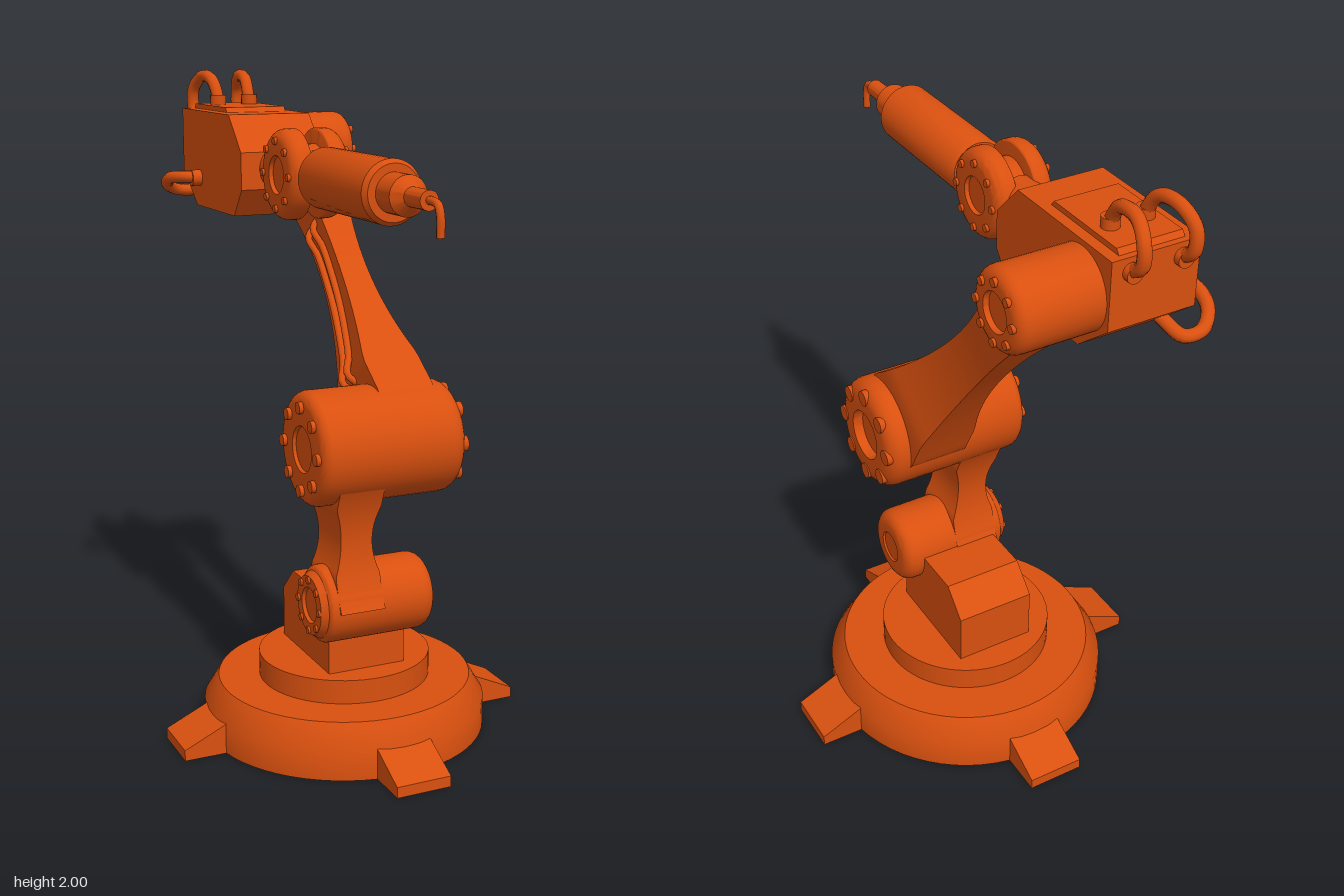
import * as THREE from 'three';
import { toCreasedNormals } from 'three/addons/utils/BufferGeometryUtils.js';

const V = (x, y, z) => new THREE.Vector3(x, y, z);

export function createModel() {
  const model = new THREE.Group();
  const paint = new THREE.MeshStandardMaterial({ color: 0xd9500f });
  const shellPaint = new THREE.MeshStandardMaterial({ color: 0xd9500f, side: THREE.DoubleSide });

  function add(name, geometry, parent = model, material = paint) {
    const mesh = new THREE.Mesh(geometry, material);
    mesh.name = name;
    parent.add(mesh);
    return mesh;
  }
  // Turned part from [radius, height] pairs
  const turned = (pts, n = 48) =>
    toCreasedNormals(new THREE.LatheGeometry(pts.map(p => new THREE.Vector2(...p)), n), 0.6);

  // Side profile in [z, y], extruded across x
  function slab(name, pts, x0, x1) {
    const shape = new THREE.Shape(pts.map(([z, y]) => new THREE.Vector2(-z, y)));
    const g = new THREE.ExtrudeGeometry(shape, { depth: x1 - x0, bevelEnabled: false });
    g.rotateY(Math.PI / 2).translate(x0, 0, 0);
    return add(name, g);
  }
  function tube(name, pts, r) {
    const curve = new THREE.CatmullRomCurve3(pts);
    return add(name, new THREE.TubeGeometry(curve, 40, r, 10, false), model, shellPaint);
  }
  // Joint drum along x; each end has a rounding and an optional recess [radius, depth]
  function drum(name, r, x0, x1, y, z, { left = 0.03, right = 0.03, leftCup, rightCup } = {}) {
    const arc = (x, s, b) => Array.from({ length: 7 }, (_, i) => {
      const a = (i / 6) * Math.PI / 2;
      return [r - b + b * Math.sin(a), x + s * (b * Math.cos(a) - b)];
    });
    const cup = (x, s, c) => c
      ? [[0, x - s * c[1]], [c[0] * 0.94, x - s * c[1]], [c[0], x]] : [[0, x]];
    const start = [...cup(x0, -1, rightCup), ...arc(x0, -1, right)];
    const end = [...cup(x1, 1, leftCup), ...arc(x1, 1, left)].reverse();
    const group = new THREE.Group();
    group.name = name;
    group.position.set(0, y, z);
    model.add(group);
    add(name + 'Body', turned([...start, ...end]).rotateZ(-Math.PI / 2), group);
    return group;
  }
  // Ring of bolt heads on a drum end
  function bolts(group, x, ringR, r, count = 8, len = 0.03) {
    for (let i = 0; i < count; i++) {
      const a = (i / count) * Math.PI * 2;
      const g = new THREE.CylinderGeometry(r, r, len, 14).rotateZ(Math.PI / 2);
      add('bolt', g, group).position.set(x, Math.cos(a) * ringR, Math.sin(a) * ringR);
    }
  }
  // Waisted bar between two joints
  function link(name, from, to, halfX, halfZ) {
    const dir = to.clone().sub(from);
    const g = new THREE.BoxGeometry(2, 1, 2, 1, 32, 1);
    const p = g.attributes.position;
    for (let i = 0; i < p.count; i++) {
      const t = p.getY(i) + 0.5;
      p.setXYZ(i, p.getX(i) * halfX(t), t * dir.length(), p.getZ(i) * halfZ(t));
    }
    const mesh = add(name, toCreasedNormals(g, 0.6));
    mesh.position.copy(from);
    mesh.rotation.x = Math.atan2(dir.z, dir.y);
    return mesh;
  }
  const waist = (w, k, t0, max) => t => Math.min(max, w + k * (t - t0) ** 2);

  // Hollow base, open underneath
  const baseZ = -0.065;
  add('base', turned([[0.44, 0], [0.44, 0.092], [0.395, 0.165], [0, 0.165]], 64), model, shellPaint)
    .position.z = baseZ;
  add('turntable', new THREE.CylinderGeometry(0.267, 0.267, 0.08, 64)).position.set(0, 0.2, baseZ);

  // Four sloped feet, open underneath
  for (let i = 0; i < 4; i++) {
    const g = new THREE.BoxGeometry(0.174, 1, 0.137);
    const p = g.attributes.position;
    for (let j = 0; j < p.count; j++) {
      p.setY(j, p.getY(j) < 0 ? 0 : p.getZ(j) > 0 ? 0.034 : 0.097);
    }
    const index = Array.from(g.index.array);
    g.setIndex([...index.slice(0, 18), ...index.slice(24, 30)]);
    g.clearGroups();
    g.translate(0, 0, 0.4935).rotateY(i * Math.PI / 2);
    g.computeVertexNormals();
    add('foot', g, model, shellPaint).position.z = baseZ;
  }

  // Pedestal block
  slab('pedestal', [[0.115, 0.23], [0.115, 0.42], [0.04, 0.48], [-0.165, 0.48], [-0.245, 0.4], [-0.245, 0.23]],
    -0.13, 0.12);

  // Shoulder
  const shoulder = V(-0.07, 0.468, 0.105);
  const s = drum('shoulderJoint', 0.118, -0.17, 0.18, shoulder.y, shoulder.z,
    { left: 0.04, right: 0.02, leftCup: [0.05, 0.006] });
  add('shoulderCap', turned([[0, -0.18], [0.05, -0.18], [0.055, -0.19], [0.09, -0.19], [0.105, -0.165]])
    .rotateZ(-Math.PI / 2), s);
  bolts(s, -0.182, 0.078, 0.011);

  // Elbow
  const elbow = V(0.105, 0.947, 0.093);
  const e = drum('elbowJoint', 0.172, -0.205, 0.26, elbow.y, elbow.z,
    { left: 0.05, right: 0.035, leftCup: [0.078, 0.03], rightCup: [0.07, 0.01] });
  bolts(e, 0.246, 0.133, 0.024, 8, 0.036);
  bolts(e, -0.203, 0.125, 0.018);

  // Lower link
  link('lowerLink', shoulder, V(-0.07, elbow.y, elbow.z), waist(0.05, 0.45, 0.43, 0.071), waist(0.082, 0.32, 0.38, 0.14));

  // Upper joint
  const top = V(0.105, 1.755, -0.62);
  const u = drum('upperJoint', 0.115, -0.01, 0.245, top.y, top.z, { left: 0.035, right: 0.01, leftCup: [0.055, 0.015] });
  bolts(u, 0.238, 0.084, 0.012);

  // Upper link with two cables along its inner face
  const upperHalfX = waist(0.045, 0.35, 0.56, 0.09);
  link('upperLink', elbow, top, upperHalfX, waist(0.072, 0.25, 0.65, 0.15));
  const along = top.clone().sub(elbow);
  const across = V(0, along.z, -along.y).normalize();
  for (const side of [-1, 1]) {
    const pts = [0.16, 0.2, 0.26, 0.35, 0.45, 0.55, 0.63, 0.69, 0.73].map((t, i, all) => {
      const off = i === 0 || i === all.length - 1 ? -0.02 : i === 1 || i === 7 ? 0.016 : 0.008;
      const p = elbow.clone().addScaledVector(along, t).addScaledVector(across, side * 0.025);
      p.x -= upperHalfX(t) + off;
      return p;
    });
    tube('linkCable', pts, 0.011);
  }

  // Head housing and its cover plate
  slab('head', [[-0.22, 1.67], [-0.285, 1.587], [-0.62, 1.587], [-0.745, 1.69], [-0.745, 1.885], [-0.32, 1.885], [-0.22, 1.78]],
    -0.26, 0);
  slab('headCover', [[-0.425, 1.88], [-0.44, 1.9], [-0.715, 1.9], [-0.73, 1.88]], -0.225, -0.032);

  // Hoses arching over the back of the head
  for (const side of [-1, 1]) {
    const x0 = -0.132 + side * 0.052, x1 = -0.132 + side * 0.075;
    tube('topHose', [V(x0, 1.88, -0.615), V(x0, 1.93, -0.625), V(x0 + side * 0.005, 1.977, -0.665),
      V((x0 + x1) / 2, 1.982, -0.74), V(x1, 1.94, -0.787), V(x1, 1.88, -0.788), V(x1, 1.84, -0.735)], 0.019);
    add('hoseFitting', new THREE.CylinderGeometry(0.025, 0.025, 0.04, 16)).position.set(x0, 1.91, -0.617);
    add('hoseFitting', new THREE.CylinderGeometry(0.025, 0.025, 0.03, 16).rotateX(Math.PI / 2))
      .position.set(x1, 1.845, -0.75);
  }
  // Hose looping round the side of the head
  tube('sideHose', [V(-0.24, 1.675, -0.59), V(-0.3, 1.68, -0.595), V(-0.335, 1.675, -0.645),
    V(-0.33, 1.65, -0.71), V(-0.28, 1.625, -0.763), V(-0.22, 1.622, -0.762), V(-0.195, 1.65, -0.69)], 0.019);
  add('hoseFitting', new THREE.CylinderGeometry(0.025, 0.025, 0.04, 16).rotateZ(Math.PI / 2))
    .position.set(-0.27, 1.676, -0.59);

  // Wrist: neck, forked discs and centre hub
  const wx = -0.132, wy = 1.73, wz = -0.035;
  add('wristNeck', new THREE.CylinderGeometry(0.07, 0.07, 0.16, 32).rotateX(Math.PI / 2)).position.set(wx, wy, -0.19);
  drum('wristHub', 0.085, wx - 0.05, wx + 0.05, wy, wz, { left: 0.005, right: 0.005 });
  const outer = drum('wristDiscLeft', 0.13, wx + 0.028, wx + 0.092, wy, wz, { left: 0.035, right: 0.006, leftCup: [0.055, 0.012] });
  bolts(outer, wx + 0.085, 0.096, 0.011);
  const inner = drum('wristDiscRight', 0.13, wx - 0.092, wx - 0.028, wy, wz, { left: 0.006, right: 0.035, rightCup: [0.055, 0.012] });
  bolts(inner, wx - 0.085, 0.096, 0.011);

  // Forearm barrel with stepped nose
  add('toolArm', turned([[0, 0.02], [0.07, 0.02], [0.07, 0.1], [0.079, 0.1], [0.087, 0.115], [0.087, 0.53], [0.076, 0.545],
    [0.054, 0.545], [0.054, 0.625], [0.026, 0.65], [0.026, 0.74], [0, 0.74]], 40).rotateX(Math.PI / 2))
    .position.set(wx, wy, 0);

  // Bent nozzle
  tube('nozzle', [V(wx, wy, 0.72), V(wx, wy, 0.76), V(wx, wy - 0.006, 0.785), V(wx, wy - 0.03, 0.798), V(wx, 1.645, 0.8)], 0.011);

  return model;
}
